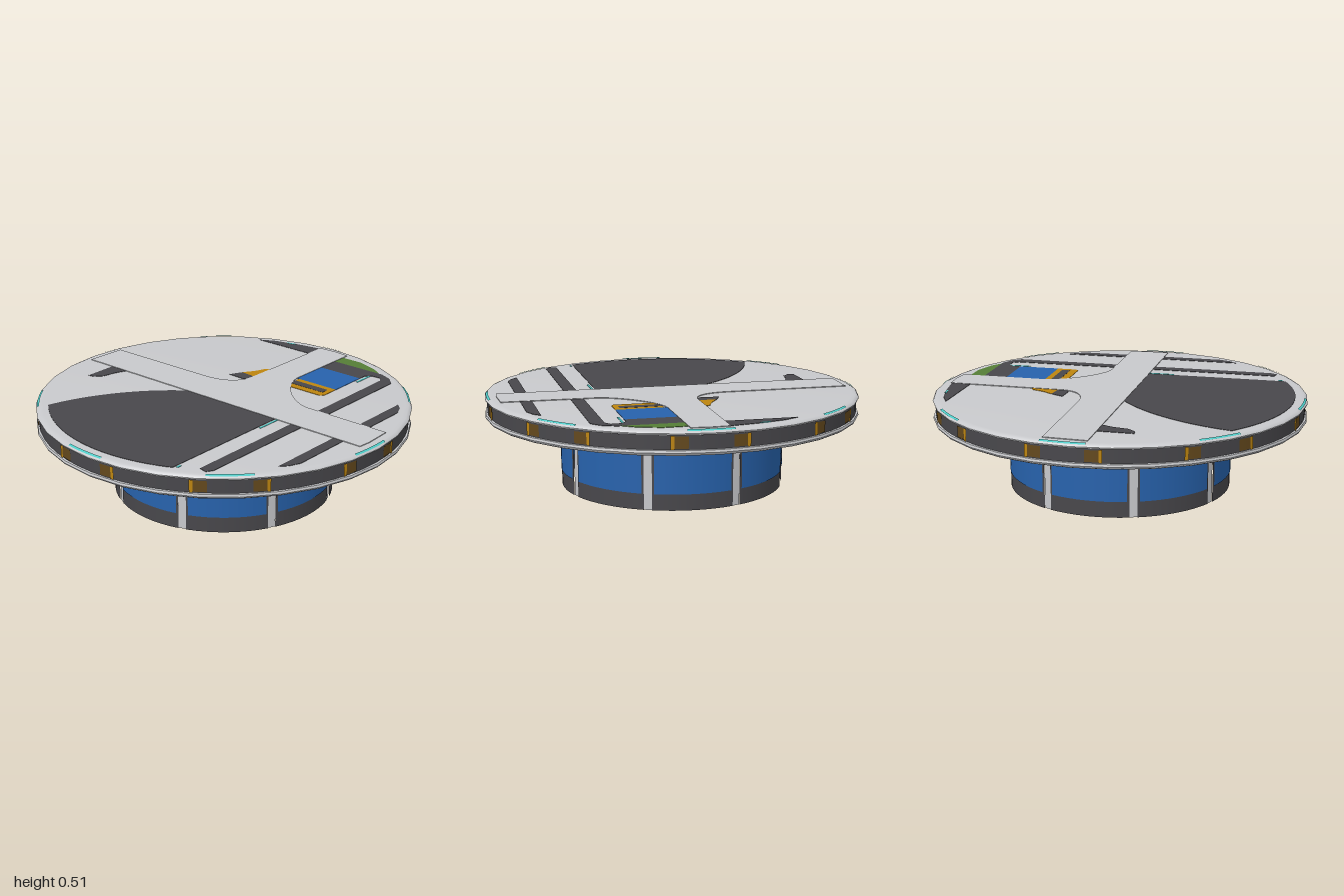
import * as THREE from 'three';
import { toCreasedNormals } from 'three/addons/utils/BufferGeometryUtils.js';

const mat = (name, color) => {
  const m = new THREE.MeshStandardMaterial({ color, side: THREE.DoubleSide });
  m.name = name;
  return m;
};

export function createModel() {
  const model = new THREE.Group();
  const light = mat('lightGrey', 0xc8c9cc), dark = mat('darkGrey', 0x48474b);
  const blue = mat('blue', 0x2762ac), green = mat('green', 0x557d36);
  const orange = mat('orange', 0xbd850f), brown = mat('brown', 0x63481c);
  const teal = mat('teal', 0x4fc9c5);
  const rad = THREE.MathUtils.degToRad;
  const TURN = -2.6; // small twist shared by all the repeated parts

  const add = (name, geometry, material, parent = model) => {
    const mesh = new THREE.Mesh(geometry, material);
    mesh.name = name;
    parent.add(mesh);
    return mesh;
  };

  // Curved strip centred on an angle (degrees from the front)
  const strip = (name, material, parent, centre, half, y0, y1, r0, r1 = r0) => {
    const g = new THREE.CylinderGeometry(r1, r0, y1 - y0, 8, 1, true, rad(centre - half), rad(2 * half));
    g.translate(0, (y0 + y1) / 2, 0);
    return add(name, g, material, parent);
  };

  // Thin plate lying on the disc, drawn in x, z
  const plateFrom = (name, shape, material, top) => {
    const g = new THREE.ExtrudeGeometry(shape, { depth: 0.004, bevelEnabled: false, curveSegments: 16 });
    g.rotateX(-Math.PI / 2).translate(0, top - 0.004, 0);
    return add(name, g, material);
  };
  const plate = (name, points, material, top = 0.508) =>
    plateFrom(name, new THREE.Shape(points.map(([x, z]) => new THREE.Vector2(x, -z))), material, top);

  // Disc with two rounded rims and a groove between them
  const profile = [
    [0, 0.38], [0.97, 0.38], [0.985, 0.383], [0.996, 0.39], [1, 0.398], [0.997, 0.41], [0.982, 0.412],
    [0.982, 0.482], [0.997, 0.484], [1, 0.492], [0.994, 0.5], [0.982, 0.5045], [0.965, 0.506], [0, 0.506],
  ].map(([r, y]) => new THREE.Vector2(r, y));
  add('disc', toCreasedNormals(new THREE.LatheGeometry(profile, 32), 0.7), light);
  const band = new THREE.CylinderGeometry(0.986, 0.986, 0.07, 64, 1, true).translate(0, 0.447, 0);
  add('grooveBand', band, dark);

  // Eight bays: rim light, clips, window panel, pillar
  add('wallTopBand', new THREE.CylinderGeometry(0.59, 0.59, 0.048, 64, 1, true).translate(0, 0.357, 0), light);
  for (let i = 0; i < 8; i++) {
    const bay = new THREE.Group();
    bay.name = 'bay';
    bay.rotation.y = rad(TURN + 45 * i);
    model.add(bay);

    strip('rimLight', teal, bay, 0, 6.7, 0.503, 0.509, 0.992, 0.98);
    for (const s of [-1, 1]) {
      strip('clip', brown, bay, s * 8.7, 2.4, 0.418, 0.476, 0.989);
      strip('clipEdge', orange, bay, s * 10.7, 0.5, 0.414, 0.48, 0.992);
    }

    strip('panelFrame', dark, bay, 0, 20.5, 0, 0.338, 0.596, 0.598);
    for (const d of [-0.003, 0.003]) {
      strip('window', blue, bay, 0, 19.4, 0.085, 0.324, 0.597 + d);
      strip('windowTab', orange, bay, 0, 2.5, 0.296, 0.305, 0.597 + d * 1.8);
      strip('windowTabTip', orange, bay, 0, 1.3, 0.289, 0.296, 0.597 + d * 1.8);
    }
    strip('pillar', light, bay, 22.5, 2.2, 0, 0.34, 0.592);
  }

  // Broad dark field on the front half
  const field = new THREE.Shape();
  field.moveTo(-0.19, -0.06);
  field.lineTo(0.405, -0.06);
  field.lineTo(0.405, -0.84);
  field.absarc(0, 0, 0.933, Math.atan2(-0.84, 0.405), Math.atan2(-0.7, -0.62), true);
  field.bezierCurveTo(-0.57, -0.48, -0.42, -0.22, -0.19, -0.06);
  plateFrom('darkField', field, dark, 0.508);

  // Markings painted on the disc
  plate('innerStripe', [[0.13, -0.82], [0.46, -0.82], [0.53, -0.79], [0.575, -0.74], [0.575, 0.74], [0.555, 0.775],
    [0.51, 0.765], [0.505, -0.735], [0.48, -0.768], [0.43, -0.765], [0.4, -0.735], [0.4, -0.69], [0.13, -0.69]], dark);
  plate('outerStripe', [[0.775, -0.505], [0.81, -0.47], [0.835, -0.41], [0.835, 0.41], [0.81, 0.47], [0.775, 0.51]], dark);
  plate('greenPatch', [[0.13, -0.9], [0.26, -0.9], [0.38, -0.86], [0.44, -0.82], [0.13, -0.82]], green);
  plate('bluePatch', [[0.13, -0.69], [0.4, -0.69], [0.4, -0.465], [0.13, -0.465]], blue);
  plate('orangePatch', [[0.15, -0.465], [0.4, -0.465], [0.4, -0.36], [0.385, -0.342], [0.15, -0.342]], orange);
  plate('orangePatchSlot', [[0.15, -0.432], [0.37, -0.432], [0.37, -0.385], [0.15, -0.385]], dark, 0.5088);
  plate('backPatch', [[-0.43, -0.832], [-0.35, -0.875], [-0.2, -0.915], [-0.05, -0.94], [-0.05, -0.832]], dark);
  plate('smallOrangePatch', [[-0.05, -0.485], [-0.09, -0.465], [-0.115, -0.4], [-0.155, -0.34], [-0.05, -0.33]], orange);
  plate('smallDarkPatch', [[-0.155, -0.34], [-0.19, -0.27], [-0.09, -0.265], [-0.05, -0.3], [-0.05, -0.33]], dark);
  plate('sidePatch', [[-0.775, 0.06], [-0.775, 0.255], [-0.74, 0.25], [-0.705, 0.21], [-0.69, 0.13], [-0.66, 0.06]], dark);
  for (const [z0, z1] of [[-0.76, -0.635], [0.07, 0.21], [0.8, 0.825]]) {
    plate('tealLine', [[0.414, z0], [0.425, z0], [0.425, z1], [0.414, z1]], teal);
  }
  plate('tealDash', [[-0.27, -0.9], [-0.215, -0.91], [-0.215, -0.9], [-0.27, -0.89]], teal, 0.5088);

  // T-shaped cover plate with filleted inner corners
  const cover = new THREE.Shape();
  cover.moveTo(-0.945, -0.07);
  cover.lineTo(0.935, -0.07);
  cover.lineTo(0.942, 0);
  cover.lineTo(0.935, 0.155);
  cover.lineTo(0.44, 0.158);
  cover.bezierCurveTo(0.33, 0.165, 0.14, 0.34, 0.135, 0.48);
  cover.lineTo(0.135, 0.94);
  cover.lineTo(0.04, 0.95);
  cover.lineTo(-0.06, 0.945);
  cover.lineTo(-0.065, 0.31);
  cover.bezierCurveTo(-0.07, 0.23, -0.13, 0.165, -0.27, 0.16);
  cover.lineTo(-0.935, 0.155);
  plateFrom('coverPlate', cover, light, 0.51);

  return model;
}
